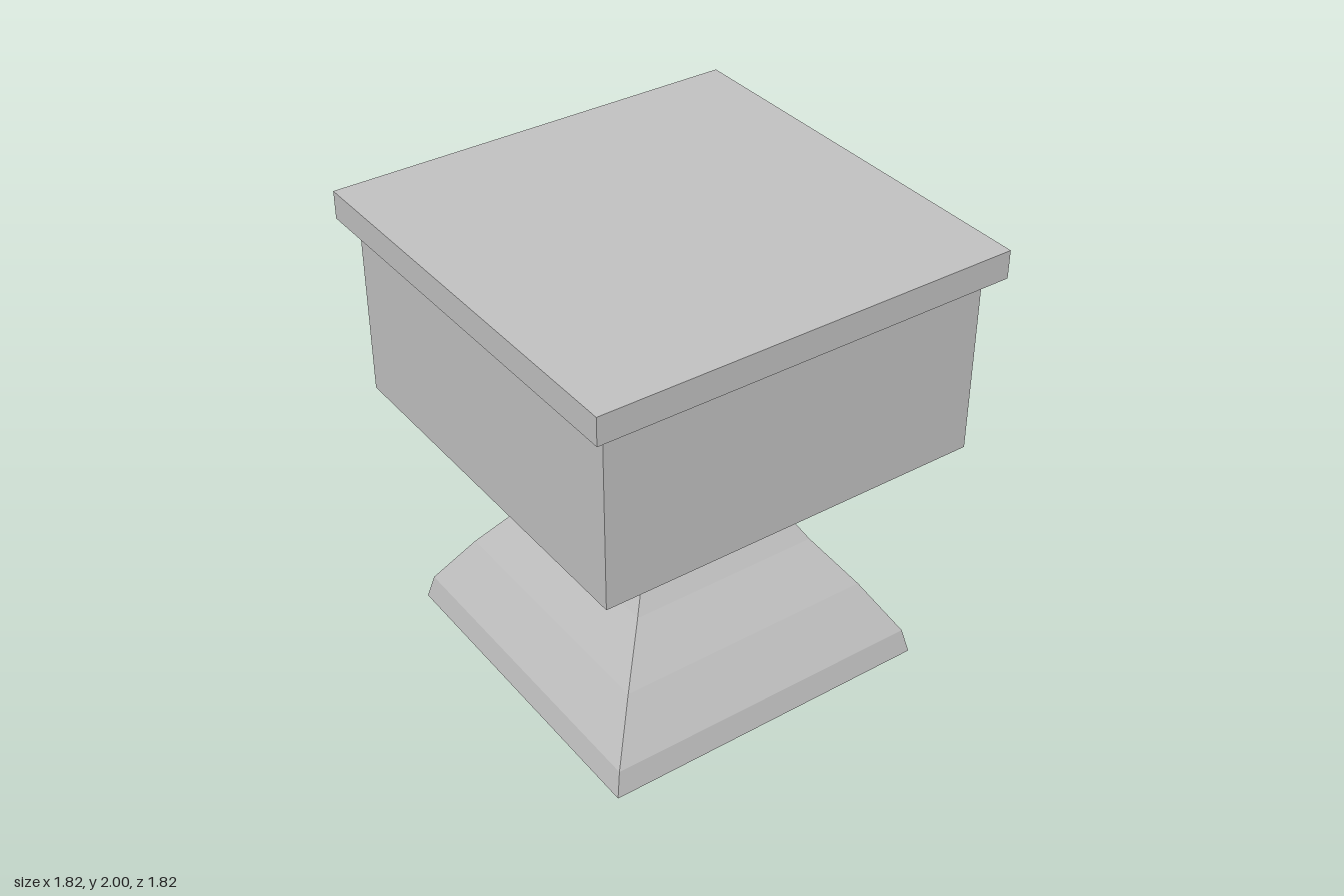
import * as THREE from 'three';

const stone = new THREE.MeshStandardMaterial({ color: 0xc0c0c0 });
stone.name = 'grey stone';

// Square slab given its half width and its bottom and top heights
function slab(name, half, y0, y1) {
  const mesh = new THREE.Mesh(new THREE.BoxGeometry(half * 2, y1 - y0, half * 2), stone);
  mesh.position.y = (y0 + y1) / 2;
  mesh.name = name;
  return mesh;
}

// Four-sided sweep of a [half width, height] profile, with flat faces
function squareLathe(name, profile) {
  const points = profile.map(([half, y]) => new THREE.Vector2(half * Math.SQRT2, y));
  const geometry = new THREE.LatheGeometry(points, 4, Math.PI / 4).toNonIndexed();
  geometry.computeVertexNormals();
  const mesh = new THREE.Mesh(geometry, stone);
  mesh.name = name;
  return mesh;
}

export function createModel() {
  const model = new THREE.Group();
  model.name = 'pedestal';

  // Hollow flared foot: down the inside, across the rim, up the outside
  model.add(squareLathe('flaredFoot', [
    [0.285, 0.675], [0.36, 0.52], [0.51, 0.32], [0.65, 0.1], [0.67, 0],
    [0.745, 0], [0.72, 0.11], [0.58, 0.34], [0.43, 0.55], [0.355, 0.675],
  ]));

  // Hollow neck widening up to the slabs
  model.add(squareLathe('neck', [
    [0.385, 0.97], [0.3, 0.8], [0.285, 0.675],
    [0.355, 0.675], [0.37, 0.8], [0.455, 0.97],
  ]));

  // Stepped block on top
  model.add(slab('lowerStep', 0.68, 0.97, 1.095));
  model.add(slab('mainBlock', 0.845, 1.095, 1.88));
  model.add(slab('topSlab', 0.91, 1.88, 2));

  return model;
}
